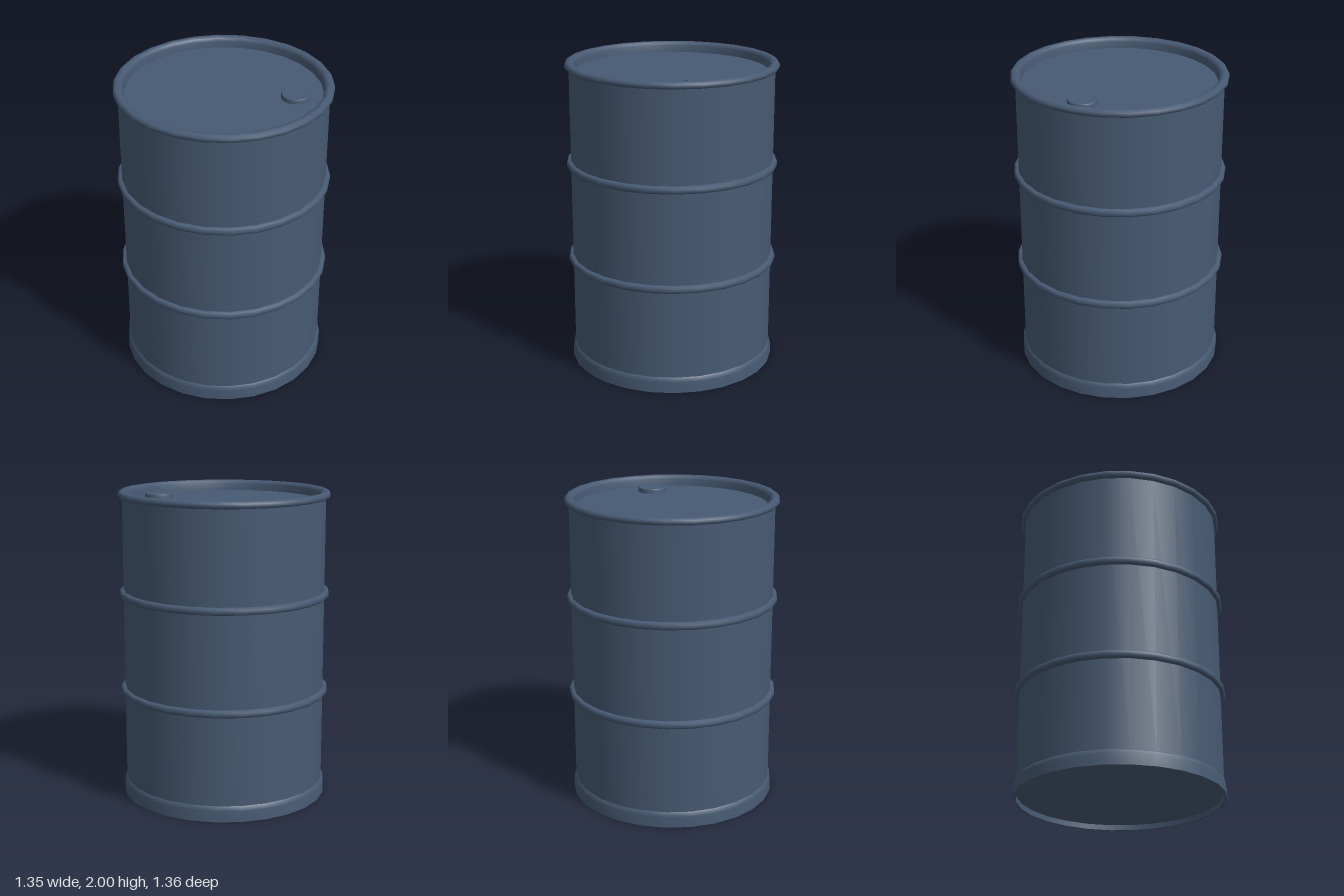
import * as THREE from 'three';

const SIDES = 26;

export function createModel() {
  const drum = new THREE.Group();
  drum.name = 'oilDrum';
  const paint = new THREE.MeshStandardMaterial({ color: 0x475a73 });
  paint.name = 'slateBluePaint';

  // Turn a profile of [radius, height] points, listed upwards on outer faces
  function turned(name, profile, sides = SIDES, parent = drum) {
    const points = profile.map(([r, y]) => new THREE.Vector2(r, y));
    const mesh = new THREE.Mesh(new THREE.LatheGeometry(points, sides), paint);
    mesh.name = name;
    parent.add(mesh);
    return mesh;
  }

  // Straight wall and the slightly flared foot
  turned('wall', [[0.654, 0.09], [0.654, 1.96]]);
  turned('foot', [[0.67, 0], [0.668, 0.07], [0.662, 0.09], [0.654, 0.1]]);

  // Recessed underside with its narrow lip
  turned('footLip', [[0.65, 0], [0.67, 0]]);
  turned('footInside', [[0.65, 0.035], [0.65, 0]]);
  turned('underside', [[0, 0.035], [0.65, 0.035]]);

  // Two rolled stiffening hoops
  for (const y of [0.7, 1.34]) {
    turned('hoop', [
      [0.652, y - 0.024], [0.672, y - 0.022], [0.681, y - 0.01],
      [0.681, y + 0.01], [0.672, y + 0.022], [0.652, y + 0.024],
    ]);
  }

  // Rolled top rim, going over and down to the sunken lid
  turned('rim', [
    [0.652, 1.952], [0.671, 1.956], [0.681, 1.968], [0.68, 1.985],
    [0.668, 1.998], [0.645, 2], [0.628, 1.992], [0.619, 1.975], [0.616, 1.93],
  ]);
  turned('lid', [[0.617, 1.932], [0, 1.932]]);

  // Screw cap with a shallow dished top
  const cap = new THREE.Group();
  cap.name = 'screwCap';
  cap.position.set(0.447, 1.93, 0);
  drum.add(cap);
  turned('capSide', [[0.091, 0], [0.091, 0.024], [0.086, 0.031]], 20, cap);
  turned('capTop', [[0.086, 0.031], [0.074, 0.032], [0.066, 0.027], [0, 0.027]], 20, cap);

  return drum;
}
